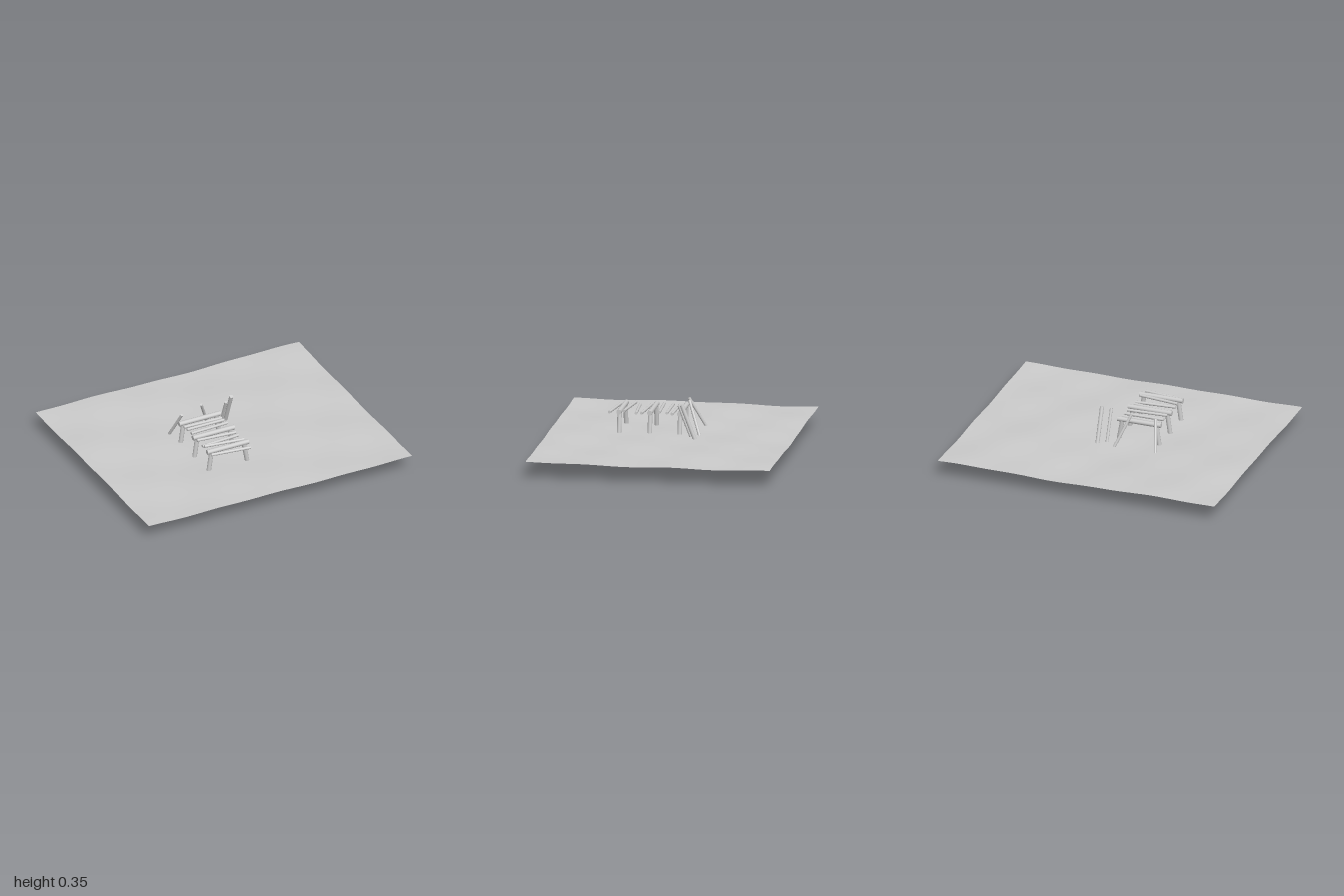
import * as THREE from 'three';

const material = new THREE.MeshStandardMaterial({ color: 0xcccccc });
const groundMaterial = new THREE.MeshStandardMaterial({ color: 0xcccccc, side: THREE.DoubleSide });

// Round log between two points
function log(name, from, to, radius) {
  const a = new THREE.Vector3(...from), b = new THREE.Vector3(...to);
  const dir = b.clone().sub(a);
  const mesh = new THREE.Mesh(new THREE.CylinderGeometry(radius, radius, dir.length(), 12), material);
  mesh.position.copy(a).add(b).multiplyScalar(0.5);
  mesh.quaternion.setFromUnitVectors(new THREE.Vector3(0, 1, 0), dir.normalize());
  mesh.name = name;
  return mesh;
}

// Gently rolling ground sheet
function makeGround() {
  const geo = new THREE.PlaneGeometry(2, 1.675, 48, 40).rotateX(-Math.PI / 2);
  const p = geo.attributes.position;
  for (let i = 0; i < p.count; i++) {
    const x = p.getX(i), z = p.getZ(i);
    const wave = 0.004 * Math.sin(5 * x + 3 * z) + 0.003 * Math.sin(11 * z - 4 * x + 1)
      + 0.002 * Math.sin(13 * x + 7 * z + 2);
    p.setY(i, 0.114 + wave);
  }
  geo.computeVertexNormals();
  const mesh = new THREE.Mesh(geo, groundMaterial);
  mesh.name = 'ground';
  return mesh;
}

export function createModel() {
  const model = new THREE.Group();
  model.name = 'logRack';
  model.add(makeGround());

  // Trestles: a crossbeam on two splayed legs
  for (const z of [0.365, 0.155, -0.05]) {
    const trestle = new THREE.Group();
    trestle.name = 'trestle';
    trestle.add(
      log('crossbeam', [-0.317, 0.256, z], [-0.003, 0.256, z], 0.017),
      log('rightLeg', [-0.282, 0.256, z], [-0.316, 0.021, z], 0.0155),
      log('leftLeg', [-0.038, 0.256, z], [0.004, 0.021, z], 0.0155)
    );
    model.add(trestle);
  }

  // Loose thin slats: z at right end, z at left end, height
  const slats = [
    [-0.004, 0.004, 0.252], [0.04, 0.04, 0.257], [0.103, 0.09, 0.261],
    [0.188, 0.213, 0.251], [0.268, 0.25, 0.249], [0.297, 0.334, 0.262], [0.399, 0.434, 0.25]
  ];
  for (const [z0, z1, y] of slats) model.add(log('slat', [-0.302, y, z0], [-0.02, y, z1], 0.01));

  // Leaning poles behind the rack
  const poles = [
    [[0.042, 0.328, -0.053], [0.042, 0.005, -0.178], 0.01],
    [[0.098, 0.343, -0.083], [0.098, 0.045, -0.197], 0.014],
    [[-0.122, 0.33, -0.099], [0.014, 0.008, -0.221], 0.01],
    [[-0.284, 0.308, -0.07], [-0.331, 0.078, -0.198], 0.01]
  ];
  for (const [top, foot, r] of poles) model.add(log('leaningPole', foot, top, r));

  return model;
}
